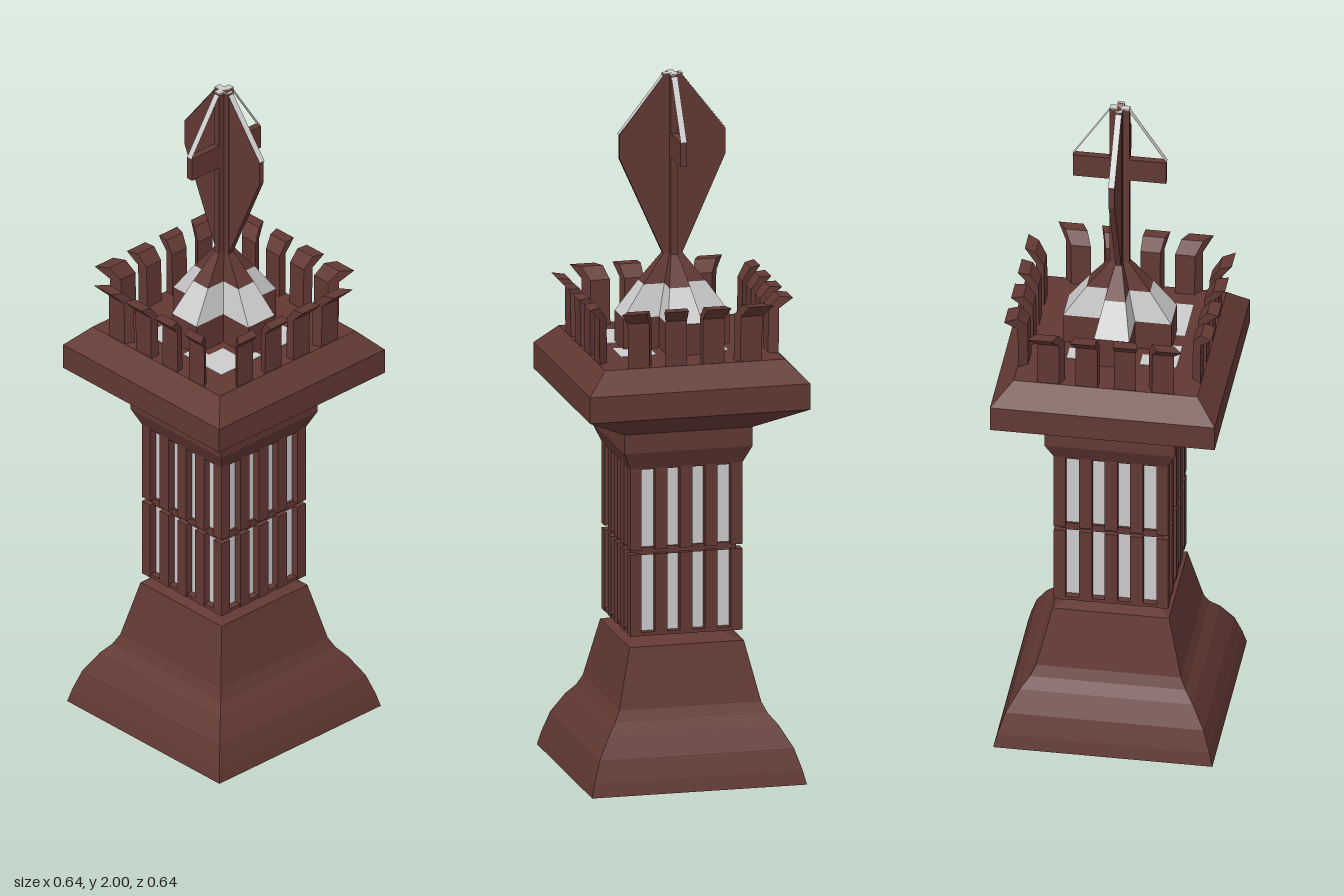
import * as THREE from 'three';

const brown = new THREE.MeshStandardMaterial({ color: 0x623833, flatShading: true });
const grey = new THREE.MeshStandardMaterial({ color: 0xcccccc, flatShading: true });
const greyThin = new THREE.MeshStandardMaterial({ color: 0xcccccc, flatShading: true, side: THREE.DoubleSide });

// Outlines seen from above, counter-clockwise
const square = (h) => [[-h, -h], [h, -h], [h, h], [-h, h]];
const plus = (e, w) => [
  [-w, -e], [w, -e], [w, -w], [e, -w], [e, w], [w, w],
  [w, e], [-w, e], [-w, w], [-e, w], [-e, -w], [-w, -w],
];

// Solid through stacked outlines: levels = [[y, outline], ...] from bottom to top
function loft(levels) {
  const pos = [];
  const put = (y, p) => pos.push(p[0], y, -p[1]);
  for (let l = 0; l + 1 < levels.length; l++) {
    const [y0, a] = levels[l], [y1, b] = levels[l + 1];
    for (let i = 0; i < a.length; i++) {
      const j = (i + 1) % a.length;
      put(y0, a[i]); put(y0, a[j]); put(y1, b[j]);
      put(y0, a[i]); put(y1, b[j]); put(y1, b[i]);
    }
  }
  const cap = ([y, o], order) => {
    const pts = o.map((p) => new THREE.Vector2(p[0], p[1]));
    for (const f of THREE.ShapeUtils.triangulateShape(pts, [])) order.forEach((k) => put(y, o[f[k]]));
  };
  cap(levels[0], [2, 1, 0]);
  cap(levels[levels.length - 1], [0, 1, 2]);
  const g = new THREE.BufferGeometry();
  g.setAttribute('position', new THREE.Float32BufferAttribute(pos, 3));
  g.computeVertexNormals();
  return g;
}

export function createModel() {
  const model = new THREE.Group();
  const add = (name, geo, mat = brown, parent = model) => {
    const m = new THREE.Mesh(geo, mat);
    m.name = name;
    parent.add(m);
    return m;
  };
  const box = (name, x0, x1, y0, y1, z0, z1, mat, parent) =>
    add(name, new THREE.BoxGeometry(x1 - x0, y1 - y0, z1 - z0), mat, parent)
      .position.set((x0 + x1) / 2, (y0 + y1) / 2, (z0 + z1) / 2);
  const stack = (pts) => loft(pts.map(([h, y]) => [y, square(h)]));

  // Flared foot
  add('base', stack([[0.31, 0], [0.3, 0.04], [0.28, 0.1], [0.245, 0.16], [0.22, 0.19],
    [0.205, 0.22], [0.165, 0.39], [0.08, 0.42]]));

  // Shaft: grey core behind two tiers of slats
  add('shaftCore', stack([[0.14, 0.425], [0.14, 0.9]]), grey);
  add('shaftFloor', stack([[0.16, 0.42], [0.16, 0.43]]));
  add('shaftBand', stack([[0.147, 0.65], [0.147, 0.672]]));
  for (const [y0, y1] of [[0.42, 0.655], [0.668, 0.905]]) {
    for (let side = 0; side < 4; side++) {
      const face = new THREE.Group();
      face.name = 'slatFace';
      face.rotation.y = side * Math.PI / 2;
      model.add(face);
      for (const x of [-0.072, 0, 0.072]) box('slat', x - 0.018, x + 0.018, y0, y1, 0.13, 0.162, brown, face);
      box('cornerPost', 0.129, 0.162, y0, y1, 0.129, 0.162, brown, face);
    }
  }

  // Collar and cornice
  add('collar', stack([[0.16, 0.9], [0.185, 0.955], [0.185, 1.015]]));
  add('cornice', stack([[0.185, 1.01], [0.318, 1.085], [0.318, 1.16], [0.26, 1.22]]));

  // Merlons fan out from the centre, with outward curling tips
  for (let side = 0; side < 4; side++) {
    const row = new THREE.Group();
    row.name = 'merlonRow';
    row.rotation.y = side * Math.PI / 2;
    model.add(row);
    for (const k of [-0.63, -0.21, 0.21, 0.63]) {
      const a = k - 0.12, b = k + 0.12;
      const ring = (y, i, o) => [y, [[a * o, -o], [b * o, -o], [b * i, -i], [a * i, -i]]];
      add('merlon', loft([ring(1.21, 0.232, 0.258), ring(1.35, 0.234, 0.259), ring(1.385, 0.26, 0.293)]), brown, row);
    }
  }

  // Grey paving on the terrace: x0, x1, z0, z1
  for (const [x0, x1, z0, z1] of [
    [-0.13, -0.08, -0.13, -0.08], [0.077, 0.18, -0.13, -0.08], [0.13, 0.18, -0.08, -0.027],
    [0.13, 0.18, 0.025, 0.13], [0.025, 0.18, 0.13, 0.18], [0.077, 0.13, 0.077, 0.13],
    [-0.13, -0.08, 0.077, 0.13], [-0.13, -0.025, 0.13, 0.18],
  ]) box('paving', x0, x1, 1.217, 1.222, z0, z1, grey);

  // Cross-shaped pinnacle
  add('pinnacleFoot', loft([[1.21, plus(0.153, 0.05)], [1.31, plus(0.153, 0.05)]]));
  add('pinnacleRoof', loft([[1.31, plus(0.153, 0.05)], [1.4, plus(0.09, 0.03)]]), grey);
  add('pinnacleNeck', loft([[1.4, plus(0.09, 0.03)], [1.48, plus(0.028, 0.01)], [1.998, plus(0.028, 0.01)]]));
  add('pinnacleCap', loft([[1.996, plus(0.028, 0.01)], [2, plus(0.028, 0.01)]]), grey);

  // Finial blade across x and bar across z
  const half = [[0.028, 1.48], [0.153, 1.76], [0.153, 1.83], [0.022, 2]];
  const outline = [...half, ...half.slice().reverse().map(([x, y]) => [-x, y])];
  const blade = new THREE.ExtrudeGeometry(new THREE.Shape(outline.map(([x, y]) => new THREE.Vector2(x, y))),
    { depth: 0.016, bevelEnabled: false });
  add('finialBlade', blade.translate(0, 0, -0.008));
  box('finialBar', -0.01, 0.01, 1.76, 1.83, -0.132, 0.132);

  // Grey sloping edge strips from the arm tips to the top
  for (let side = 0; side < 4; side++) {
    const tip = side % 2 ? 0.155 : 0.132;
    const dz = tip - 0.022, dy = 0.17;
    const pivot = new THREE.Group();
    pivot.name = 'edgeStripMount';
    pivot.rotation.y = side * Math.PI / 2;
    model.add(pivot);
    const strip = add('edgeStrip', new THREE.PlaneGeometry(0.018, Math.hypot(dz, dy)), greyThin, pivot);
    strip.rotation.x = -Math.atan2(dz, dy);
    strip.position.set(0, 1.915, (tip + 0.022) / 2 + 0.001);
  }
  return model;
}
